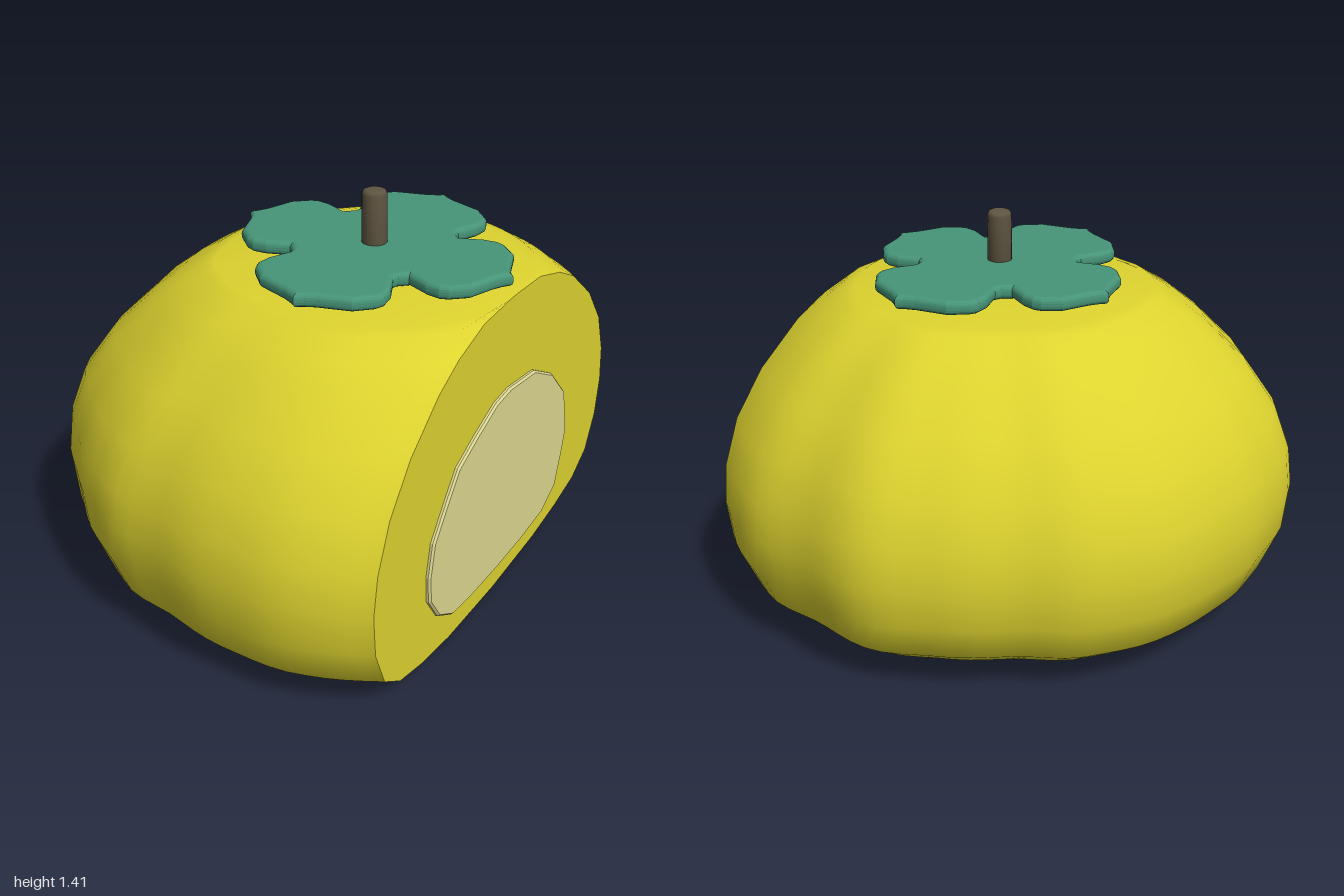
import * as THREE from 'three';

const AXIS_X = 0.25; // fruit axis
const CUT_X = 0.76; // plane of the slice

// Fruit radius every 15 degrees, from +x towards +z
const RADII = [1.02, 1.02, 1.02, 1.02, 1.0, 1.0, 0.98, 0.97, 1.02, 1.04, 1.08, 1.05,
  1.03, 1.03, 1.01, 0.96, 0.98, 1.02, 0.99, 1.03, 1.03, 1.03, 1.02, 1.02];

// Profile from bottom to top: [share of the radius, height]
const PROFILE = [[0, 0.03], [0.25, 0.025], [0.5, 0.028], [0.6, 0.04], [0.72, 0.065], [0.84, 0.1],
  [0.93, 0.17], [0.985, 0.31], [1, 0.46], [0.985, 0.6], [0.93, 0.76], [0.83, 0.91],
  [0.7, 1.045], [0.62, 1.11], [0.54, 1.16], [0.5, 1.17], [0.3, 1.195], [0, 1.2]];

const material = (color) => new THREE.MeshStandardMaterial({ color });

function mesh(name, geometry, mat) {
  const m = new THREE.Mesh(geometry, mat);
  m.name = name;
  return m;
}

function radiusAt(theta) {
  const t = THREE.MathUtils.euclideanModulo(theta / (Math.PI / 12), 24);
  const i = Math.floor(t) % 24;
  const f = t - Math.floor(t);
  const k = f * f * (3 - 2 * f);
  return THREE.MathUtils.lerp(RADII[i], RADII[(i + 1) % 24], k);
}

// Angle at which a ring of the given share meets the slice plane
function cutAngle(share, side) {
  let a = 0;
  for (let k = 0; k < 12; k++) {
    a = Math.acos(Math.min(1, (CUT_X - AXIS_X) / Math.max(0.01, share * radiusAt(side * a))));
  }
  return a;
}

// Rings stacked up the profile, open where the slice removes them
function createFruit(mat) {
  const n = 64;
  const positions = [];
  const index = [];
  const edgeFront = [];
  const edgeBack = [];
  const open = PROFILE.map(([s]) => s > 0.51);
  PROFILE.forEach(([s, h], i) => {
    const start = cutAngle(s, 1);
    const end = Math.PI * 2 - cutAngle(s, -1);
    for (let j = 0; j <= n; j++) {
      const theta = start + (end - start) * j / n;
      const r = s * radiusAt(theta);
      const x = Math.min(CUT_X, AXIS_X + r * Math.cos(theta));
      const z = r * Math.sin(theta);
      // The underside leans slightly down towards the front
      const y = h - 0.02 * z * Math.max(0, 1 - h / 0.4);
      positions.push(x, y, z);
      if (s >= 0.5 && j === 0) edgeFront.push(new THREE.Vector2(-z, y));
      if (open[i] && j === n) edgeBack.unshift(new THREE.Vector2(-z, y));
    }
  });
  const id = (i, j) => i * (n + 1) + (j === n && !open[i] ? 0 : j);
  for (let i = 0; i < PROFILE.length - 1; i++) {
    for (let j = 0; j < n; j++) {
      const a = id(i, j), b = id(i + 1, j), c = id(i, j + 1), d = id(i + 1, j + 1);
      if (PROFILE[i][0] > 0) index.push(a, b, c);
      if (PROFILE[i + 1][0] > 0) index.push(c, b, d);
    }
  }
  // Poles share one vertex so that shading stays smooth
  const last = (PROFILE.length - 1) * (n + 1);
  const welded = index.map((v) => (v <= n ? 0 : v >= last ? last : v));
  const skin = new THREE.BufferGeometry();
  skin.setAttribute('position', new THREE.Float32BufferAttribute(positions, 3));
  skin.setIndex(welded);
  skin.computeVertexNormals();

  const face = new THREE.ShapeGeometry(new THREE.Shape([...edgeFront, ...edgeBack]));
  face.rotateY(Math.PI / 2);
  face.translate(CUT_X, 0, 0);

  const fruit = new THREE.Group();
  fruit.name = 'fruit';
  fruit.add(mesh('fruitSkin', skin, mat), mesh('cutFace', face, mat));
  return fruit;
}

// Pale core shown on the slice
function createCore() {
  const outline = [[0.53, 0.4], [0.52, 0.3], [0.45, 0.2], [0.35, 0.14], [0.2, 0.125], [0, 0.12],
    [-0.2, 0.125], [-0.37, 0.14], [-0.48, 0.2], [-0.52, 0.33], [-0.54, 0.42], [-0.49, 0.6],
    [-0.36, 0.73], [-0.2, 0.815], [0, 0.84], [0.1, 0.83], [0.24, 0.775], [0.36, 0.72],
    [0.43, 0.63], [0.51, 0.52]];
  const shape = new THREE.Shape(outline.map(([z, y]) => new THREE.Vector2(-z, y)));
  const geometry = new THREE.ExtrudeGeometry(shape, {
    depth: 0.02, bevelThickness: 0.007, bevelSize: 0.007, bevelOffset: -0.007, bevelSegments: 1,
  });
  geometry.rotateY(Math.PI / 2);
  geometry.translate(CUT_X - 0.012, 0, 0);
  return mesh('core', geometry, material(0xdcd690));
}

// Four pointed petals in one flat, round-edged leaf
function createCalyx() {
  const half = [[0.2, 0.2], [0.195, 0.225], [0.23, 0.3], [0.237, 0.35], [0.225, 0.38],
    [0.17, 0.435], [0.06, 0.47], [0.025, 0.487]];
  const petal = [...half, [0, 0.505], ...half.slice(1).reverse().map(([w, l]) => [-w, l])];
  const points = [];
  for (let k = 0; k < 4; k++) {
    const width = k % 2 ? 0.9 : 1;
    for (const [w, l] of petal) {
      const notch = w === 0.2 ? 1 : width;
      points.push(new THREE.Vector2(w * notch, l).rotateAround(new THREE.Vector2(), k * Math.PI / 2));
    }
  }
  const geometry = new THREE.ExtrudeGeometry(new THREE.Shape(points), {
    depth: 0.01, bevelThickness: 0.02, bevelSize: 0.02, bevelOffset: -0.02, bevelSegments: 4,
  });
  geometry.rotateX(-Math.PI / 2);
  geometry.translate(AXIS_X, 1.22, 0);
  return mesh('calyx', geometry, material(0x469478));
}

// Short stem with a softened tip, tilted a little
function createStem() {
  const profile = [[0, 0], [0.044, 0], [0.043, 0.21], [0.038, 0.222], [0.028, 0.226], [0, 0.226]];
  const geometry = new THREE.LatheGeometry(profile.map(([r, y]) => new THREE.Vector2(r, y)), 16);
  const stem = mesh('stem', geometry, material(0x5f5541));
  stem.position.set(AXIS_X + 0.004, 1.205, 0.012);
  stem.rotation.set(-0.03, 0, 0.035);
  return stem;
}

export function createModel() {
  const model = new THREE.Group();
  model.name = 'slicedFruit';
  model.add(createFruit(material(0xddd32f)), createCore(), createCalyx(), createStem());
  return model;
}
